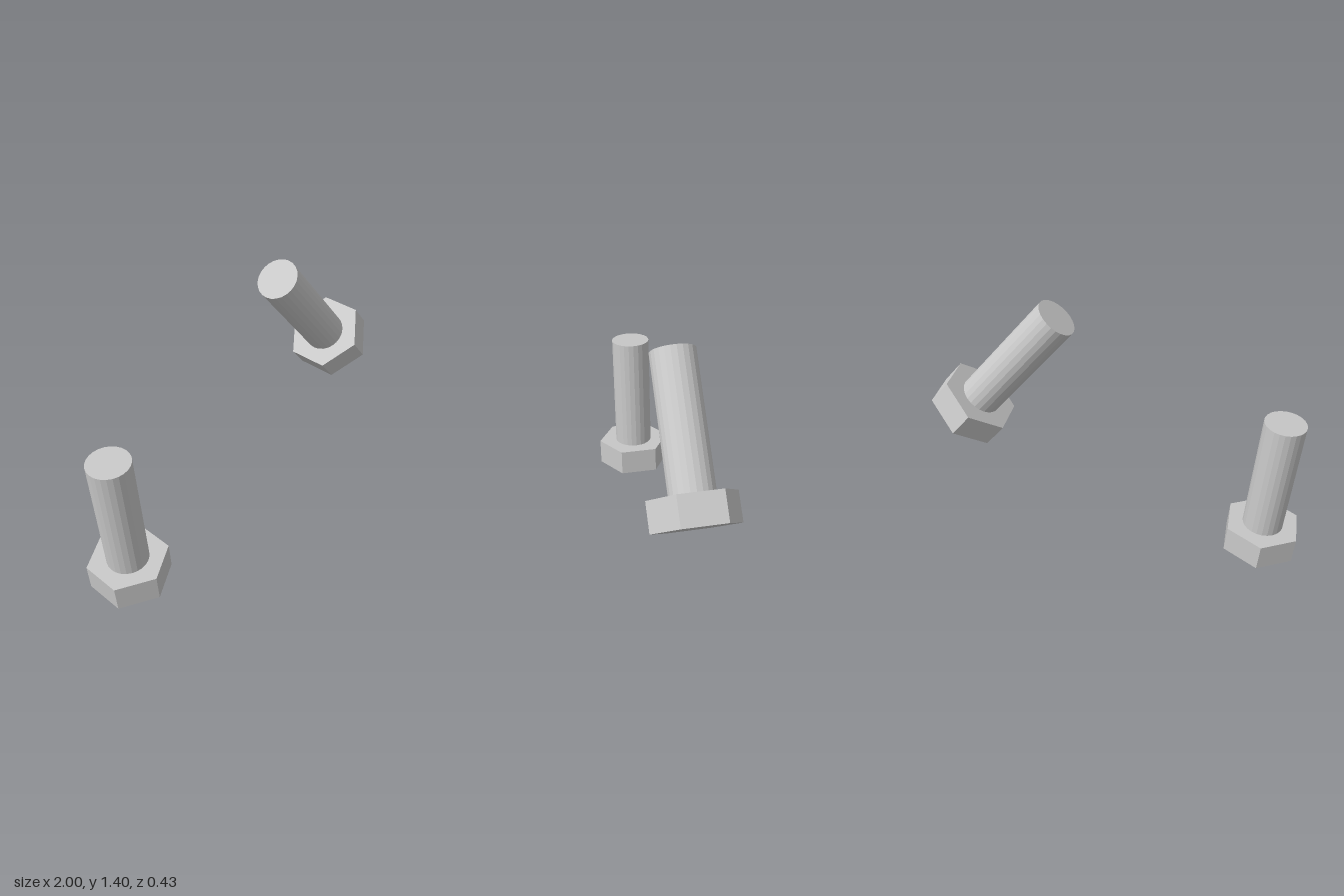
import * as THREE from 'three';

const steel = new THREE.MeshStandardMaterial({ color: 0xc8c8c8, flatShading: true });
steel.name = 'steel';

const HEAD_RADIUS = 0.217, HEAD_HEIGHT = 0.15;
const SHAFT_RADIUS = 0.112, LENGTH = 0.827;

// One hex bolt, standing on the centre of its head's underside
function makeBolt(name, x, y, tiltDegrees) {
  const bolt = new THREE.Group();
  bolt.name = name;

  const head = new THREE.Mesh(
    new THREE.CylinderGeometry(HEAD_RADIUS, HEAD_RADIUS, HEAD_HEIGHT, 6), steel);
  head.name = 'hexHead';
  head.position.y = HEAD_HEIGHT / 2;

  const shaftLength = LENGTH - HEAD_HEIGHT;
  const shaft = new THREE.Mesh(
    new THREE.CylinderGeometry(SHAFT_RADIUS, SHAFT_RADIUS, shaftLength, 24), steel);
  shaft.name = 'shaft';
  shaft.position.y = HEAD_HEIGHT + shaftLength / 2;

  bolt.add(head, shaft);
  bolt.position.set(x, y, 0);
  bolt.rotation.z = THREE.MathUtils.degToRad(tiltDegrees);
  return bolt;
}

export function createModel() {
  const model = new THREE.Group();
  model.name = 'bolts';
  model.add(
    makeBolt('standingBolt', -0.801, 0.0145, 4.4),
    makeBolt('tiltedBolt', 0.857, 0.704, 40.7),
  );
  return model;
}
